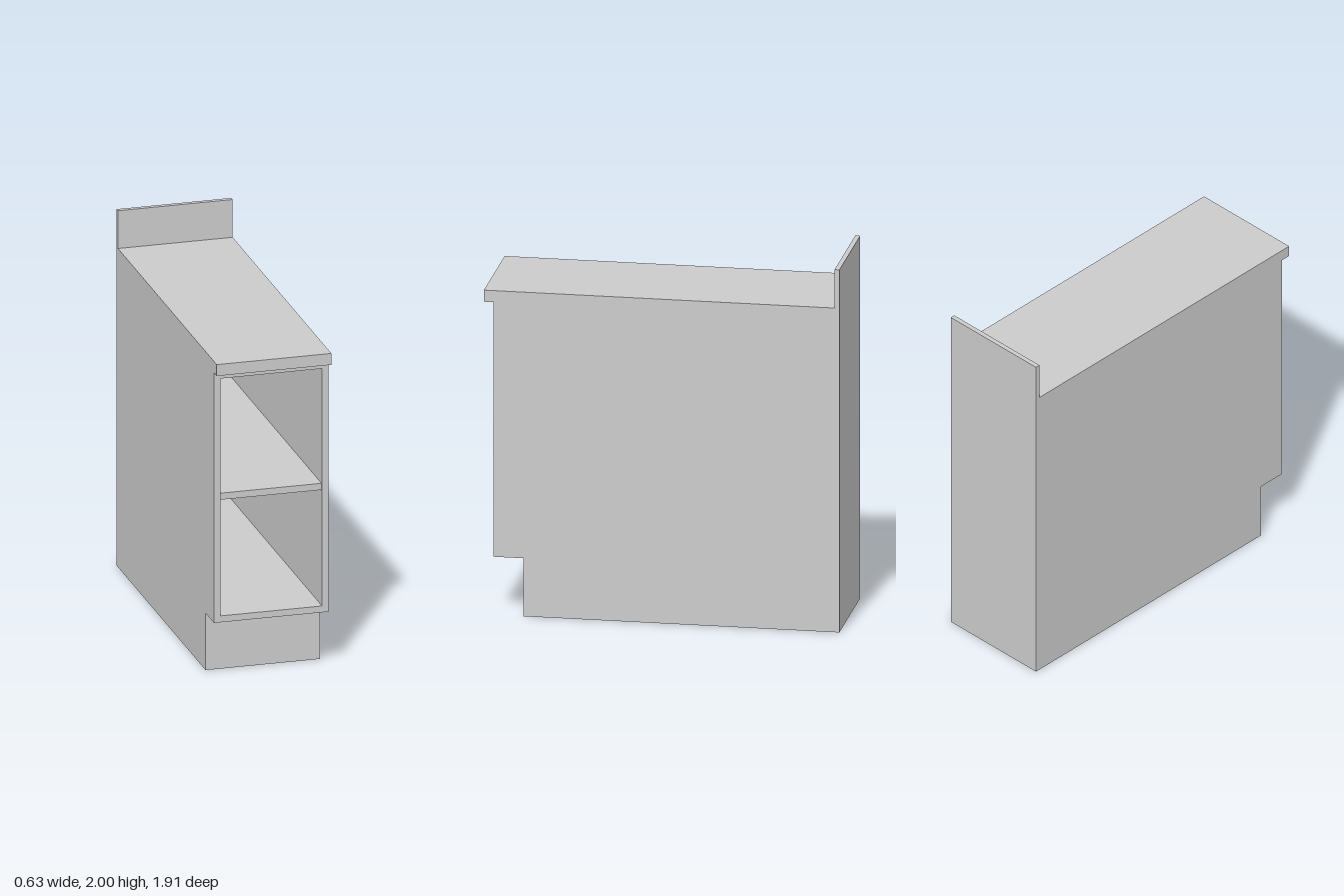
import * as THREE from 'three';

const material = new THREE.MeshStandardMaterial({ color: 0xcccccc, flatShading: true });
const HALF = 0.315;   // half width of the cabinet
const BOARD = 0.036;  // board thickness
const BACK = -0.953, PANEL = -0.927, FRONT = 0.9;
const BASE = 0.32, TOP = 1.724;

// Box given by its extents in x (symmetric), y and z
function board(name, halfWidth, y0, y1, z0, z1) {
  const mesh = new THREE.Mesh(new THREE.BoxGeometry(halfWidth * 2, y1 - y0, z1 - z0), material);
  mesh.position.set(0, (y0 + y1) / 2, (z0 + z1) / 2);
  mesh.name = name;
  return mesh;
}

function rectangle(PathType, x, y0, y1) {
  return new PathType([[-x, y0], [x, y0], [x, y1], [-x, y1]].map(p => new THREE.Vector2(...p)));
}

export function createModel() {
  const cabinet = new THREE.Group();
  cabinet.name = 'openCabinet';

  // Carcass: a rectangular tube open to the front
  const outline = rectangle(THREE.Shape, HALF, BASE, TOP);
  outline.holes.push(rectangle(THREE.Path, HALF - BOARD, BASE + BOARD, TOP - BOARD));
  const carcass = new THREE.Mesh(
    new THREE.ExtrudeGeometry(outline, { depth: FRONT - PANEL, bevelEnabled: false }), material);
  carcass.position.z = PANEL;
  carcass.name = 'carcass';

  cabinet.add(
    carcass,
    // Shelf set slightly behind the front edge
    board('shelf', HALF - BOARD, 1.004, 1.041, PANEL, FRONT - 0.01),
    // Recessed plinth under the carcass
    board('plinth', HALF, 0, BASE, PANEL, 0.74),
    // Worktop with a front overhang
    board('worktop', HALF, TOP, 1.788, PANEL, 0.953),
    // Full-height back, rising above the worktop as a splashback
    board('backPanel', HALF, 0, 2, BACK, PANEL),
  );
  return cabinet;
}
